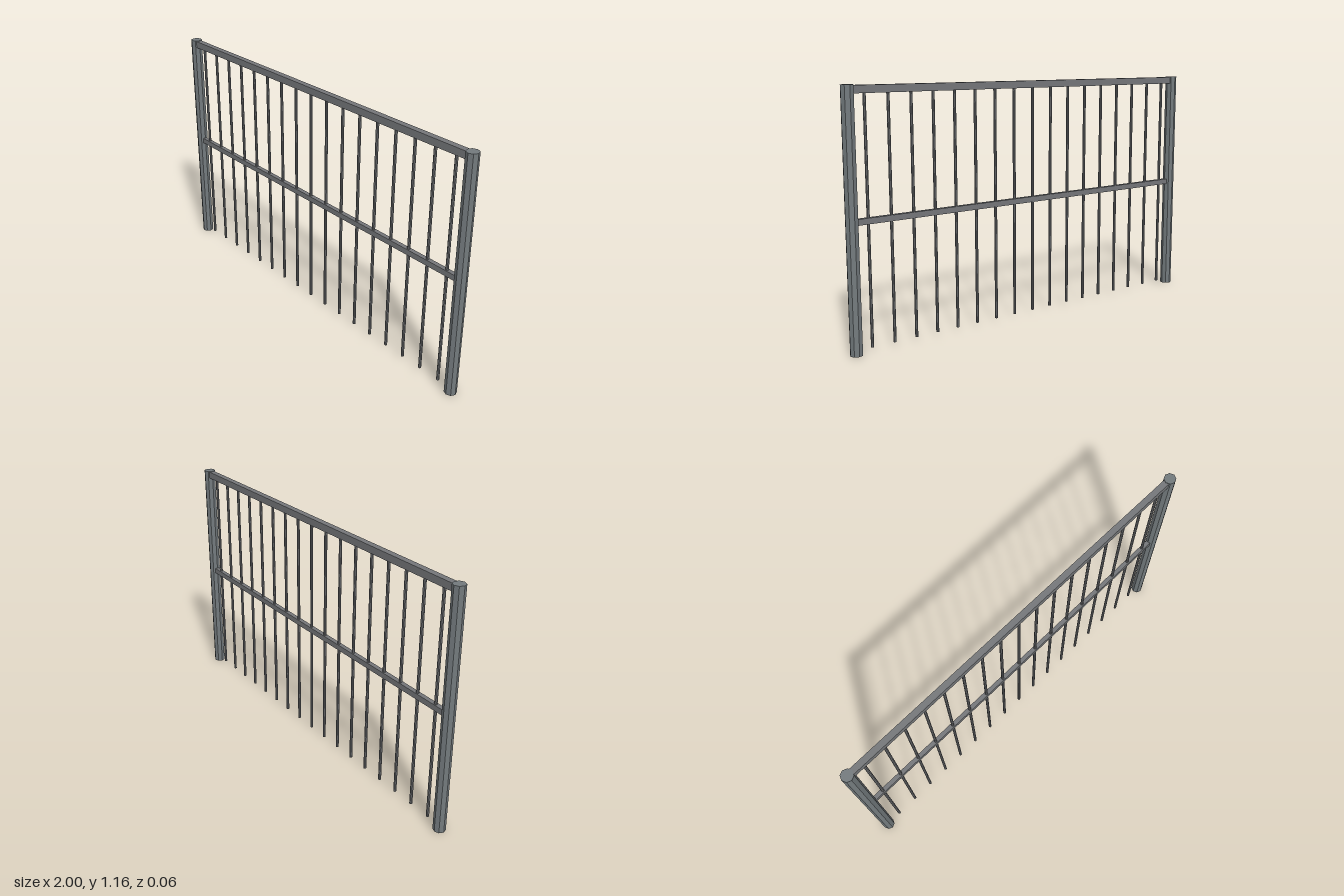
import * as THREE from 'three';

export function createModel() {
  const group = new THREE.Group();
  group.name = 'railing';

  const postMetal = new THREE.MeshStandardMaterial({ color: 0x737a7d, flatShading: true });
  postMetal.name = 'postMetal';
  const railMetal = new THREE.MeshStandardMaterial({ color: 0x75777a, flatShading: true });
  railMetal.name = 'railMetal';

  function add(name, geometry, material, x, y) {
    const mesh = new THREE.Mesh(geometry, material);
    mesh.name = name;
    mesh.position.set(x, y, 0);
    group.add(mesh);
  }

  // Octagonal end posts
  const postHeight = 1.165, postRadius = 0.029, postX = 1 - postRadius;
  const post = new THREE.CylinderGeometry(postRadius, postRadius, postHeight, 8);
  add('leftPost', post, postMetal, postX, postHeight / 2);
  add('rightPost', post, postMetal, -postX, postHeight / 2);

  // Horizontal rails, running into the posts
  const railLength = 2 * postX - 0.03;
  add('topRail', new THREE.BoxGeometry(railLength, 0.034, 0.03), railMetal, 0, 1.145);
  add('middleRail', new THREE.BoxGeometry(railLength, 0.027, 0.022), railMetal, 0, 0.585);

  // Evenly spaced thin upright bars, hanging clear of the ground
  const barBottom = 0.02, barTop = 1.135, spacing = 0.1117;
  const bar = new THREE.CylinderGeometry(0.0072, 0.0072, barTop - barBottom, 8);
  for (let i = -8; i <= 8; i++) {
    add('bar' + (i + 9), bar, railMetal, i * spacing, (barTop + barBottom) / 2);
  }

  return group;
}
